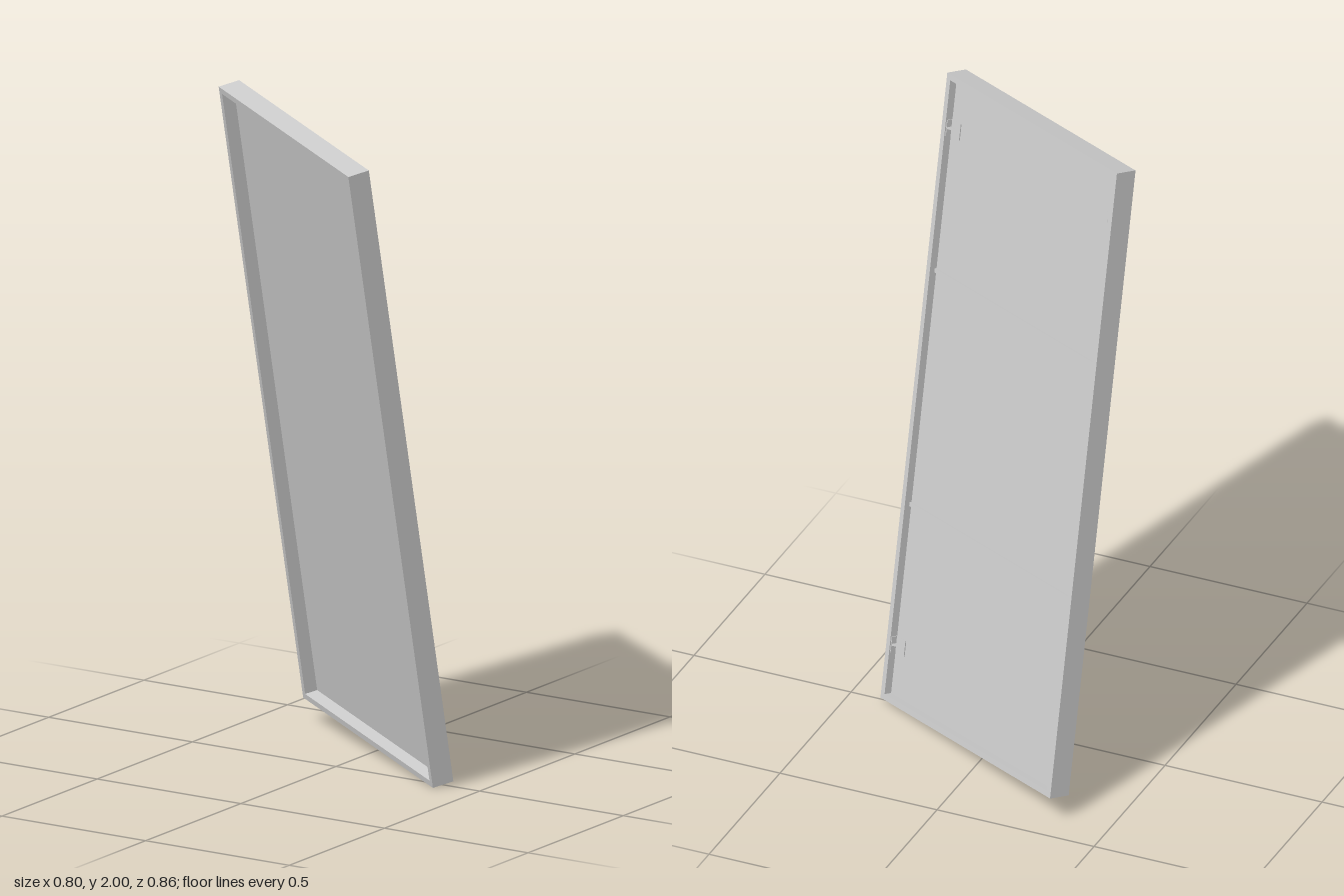
import * as THREE from 'three';

const W = 0.845, H = 1.954, D = 0.067; // outer size of the frame
const RIM = 0.0175;                    // wall thickness
const PANEL_Z = -0.008, PANEL_T = 0.004;

const grey = new THREE.MeshStandardMaterial({ color: 0xcccccc, flatShading: true });

function add(parent, name, geometry, x = 0, y = 0, z = 0) {
  const mesh = new THREE.Mesh(geometry, grey);
  mesh.name = name;
  mesh.position.set(x, y, z);
  parent.add(mesh);
  return mesh;
}

function rectangle(path, w, h) {
  path.moveTo(-w / 2, -h / 2);
  path.lineTo(w / 2, -h / 2);
  path.lineTo(w / 2, h / 2);
  path.lineTo(-w / 2, h / 2);
  path.closePath();
  return path;
}

// Small corner bracket: a foot on the panel, a flange on the wall, a gusset between
function makeBracket(side) {
  const bracket = new THREE.Group();
  bracket.name = 'bracket';
  const w = 0.045, h = 0.05, d = 0.02, t = 0.003;
  add(bracket, 'bracketFoot', new THREE.BoxGeometry(w, h, t), -side * w / 2, 0, -t / 2);
  add(bracket, 'bracketFlange', new THREE.BoxGeometry(t, h, d), -side * t / 2, 0, -d / 2);
  const gusset = new THREE.Shape([
    new THREE.Vector2(0, 0),
    new THREE.Vector2(-side * w * 0.75, 0),
    new THREE.Vector2(0, d),
  ]);
  const geometry = new THREE.ExtrudeGeometry(gusset, { depth: 0.006, bevelEnabled: false });
  geometry.translate(0, 0, -0.003).rotateX(-Math.PI / 2);
  add(bracket, 'bracketGusset', geometry);
  return bracket;
}

export function createModel() {
  const model = new THREE.Group();
  model.name = 'leaningFramedPanel';
  const board = new THREE.Group();
  board.name = 'board';
  model.add(board);

  // Frame walls as one open rectangle
  const outline = rectangle(new THREE.Shape(), W, H);
  outline.holes.push(rectangle(new THREE.Path(), W - 2 * RIM, H - 2 * RIM));
  const frame = new THREE.ExtrudeGeometry(outline, { depth: D, bevelEnabled: false });
  add(board, 'frame', frame.translate(0, 0, -D / 2));

  // Thin panel, set deeper from the front than from the back
  const innerW = W - 2 * RIM;
  add(board, 'panel', new THREE.BoxGeometry(innerW, H - 2 * RIM, PANEL_T), 0, 0, PANEL_Z);
  const backZ = PANEL_Z - PANEL_T / 2;

  // Cross battens on the back
  for (const y of [0.363, -0.368]) {
    add(board, 'batten', new THREE.BoxGeometry(innerW, 0.012, 0.007), 0, y, backZ - 0.0035);
  }

  // Three brackets against the side walls
  for (const [side, y] of [[1, 0.81], [-1, 0.81], [1, -0.805]]) {
    const bracket = makeBracket(side);
    bracket.position.set(side * innerW / 2, y, backZ);
    board.add(bracket);
  }

  // Turn and lean the whole board
  const across = new THREE.Vector3(0.73, -0.07, 0.42).normalize();
  const up = new THREE.Vector3(-0.035, 1.915, 0.388);
  const front = new THREE.Vector3().crossVectors(across, up).normalize();
  up.crossVectors(front, across);
  board.quaternion.setFromRotationMatrix(new THREE.Matrix4().makeBasis(across, up, front));
  board.position.y = 1;
  return model;
}
